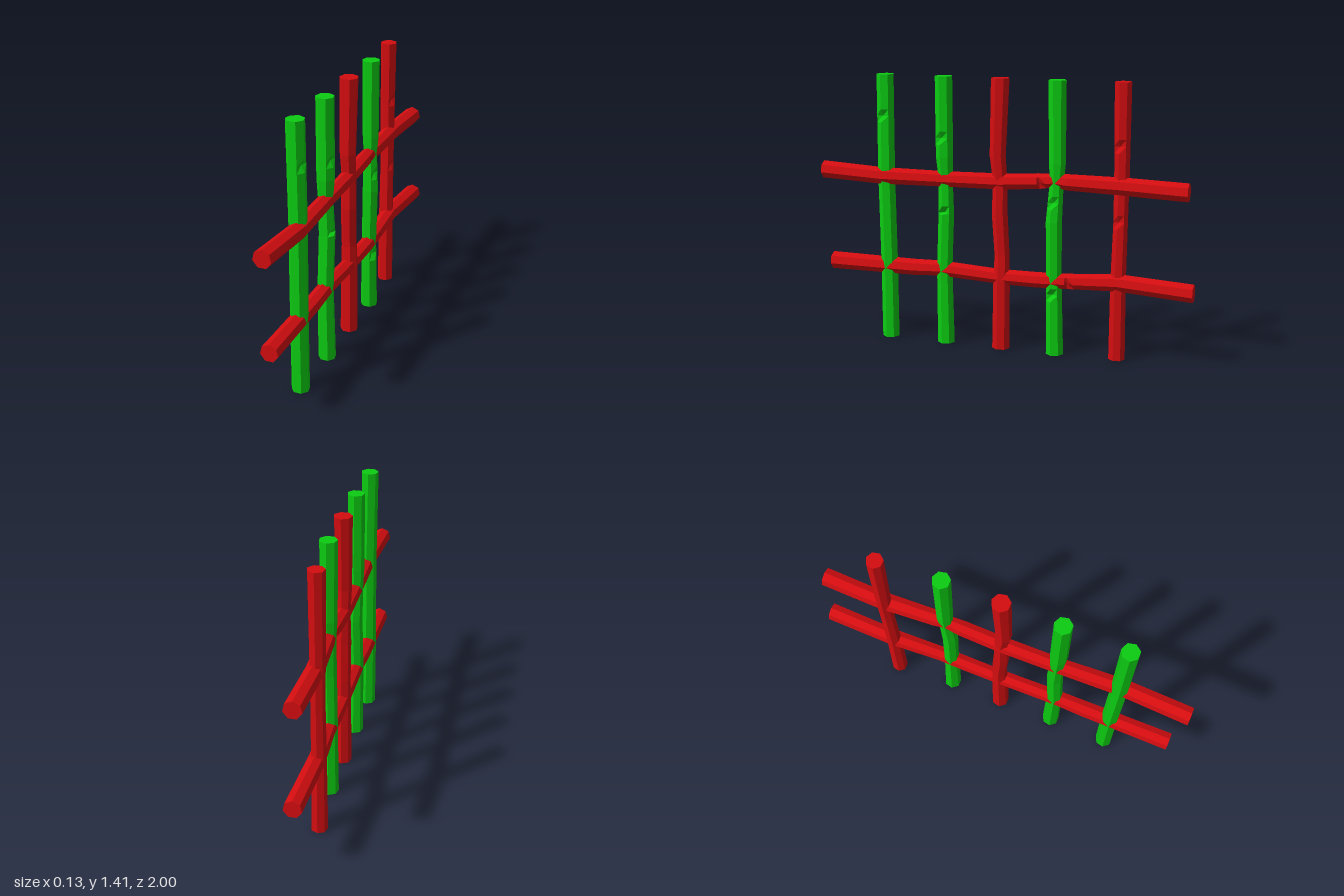
import * as THREE from 'three';

const SIDES = 7;
const lerp = THREE.MathUtils.lerp;

// Centre [a, b] and radius of a path of [t, a, b, r] points at distance t
function sample(path, t) {
  let i = 0;
  while (i < path.length - 2 && t > path[i + 1][0]) i++;
  const p = path[i], q = path[i + 1];
  const k = (t - p[0]) / (q[0] - p[0]);
  return [1, 2, 3].map(j => lerp(p[j], q[j], k));
}

// Crooked faceted stick along y; each dent is [t, side, depth]
function stick(path, dents = []) {
  const rows = path.map(p => p[0]);
  for (const [t] of dents) rows.push(t - 0.035, t, t + 0.035);
  rows.sort((a, b) => a - b);
  const n = rows.length - 1;
  const geo = new THREE.CylinderGeometry(1, 1, 1, SIDES, n, false, Math.PI);
  const pos = geo.attributes.position;
  for (let i = 0; i < pos.count; i++) {
    const t = rows[Math.round((pos.getY(i) + 0.5) * n)];
    const [cx, cz, r] = sample(path, t);
    const x = pos.getX(i), z = pos.getZ(i);
    const angle = Math.atan2(x, z) - Math.PI + Math.PI * 4;
    const side = Math.round(angle / (Math.PI * 2) * SIDES) % SIDES;
    let s = r;
    for (const d of dents) if (d[0] === t && d[1] === side) s -= d[2];
    pos.setXYZ(i, cx + x * s, t, cz + z * s);
  }
  const flat = geo.toNonIndexed();
  flat.computeVertexNormals();
  return flat;
}

export function createModel() {
  const group = new THREE.Group();
  group.name = 'trellis';
  const red = new THREE.MeshStandardMaterial({ color: 0xd40d10 });
  red.name = 'red';
  const green = new THREE.MeshStandardMaterial({ color: 0x0ccc12 });
  green.name = 'green';

  const add = (name, geo, mat) => {
    const mesh = new THREE.Mesh(geo, mat);
    mesh.name = name;
    group.add(mesh);
  };

  // Upright poles: path points are [y, x, z, radius]
  const H = 1.415, R = 0.046;
  const poles = [
    [green, [[0, 0, 0.628, R], [0.4, 0, 0.628, R], [0.89, 0.005, 0.632, R], [H, 0, 0.631, R]],
      [[1.2, 5, 0.02]]],
    [green, [[0, 0.003, 0.306, R], [0.4, 0, 0.312, 0.042], [0.7, 0.005, 0.298, 0.042],
      [0.89, 0, 0.302, 0.038], [1, 0.003, 0.305, R], [H, 0.003, 0.306, R]],
      [[0.71, 5, 0.025], [1.1, 5, 0.018]]],
    [red, [[0, 0, 0, 0.047], [0.38, 0, -0.004, 0.044], [0.5, -0.002, -0.006, 0.04],
      [0.72, 0, 0.006, 0.042], [0.89, 0, 0.004, 0.038], [1.02, 0, 0.017, 0.042], [H, 0, 0.003, 0.048]],
      []],
    [green, [[0, 0, -0.293, R], [0.4, 0, -0.286, 0.04], [0.7, 0.006, -0.284, 0.042],
      [0.9, 0, -0.295, 0.036], [1, 0, -0.298, 0.043], [H, 0, -0.294, R]],
      [[0.32, 5, 0.025], [0.8, 5, 0.018]]],
    [red, [[0, -0.025, -0.615, 0.043], [0.4, -0.025, -0.614, 0.04], [0.72, -0.025, -0.62, 0.037],
      [0.95, -0.026, -0.621, 0.039], [H, -0.025, -0.618, 0.043]],
      [[0.72, 5, 0.015], [1.1, 5, 0.018]]],
  ];
  poles.forEach(([mat, path, dents], i) => add('pole' + (i + 1), stick(path, dents), mat));

  // Cross bars: path points are [z, x, y, radius]
  const bar = (path, dents) =>
    stick(path.map(([z, x, y, r]) => [z, x, -y, r]), dents).rotateX(Math.PI / 2);
  add('upperBar', bar([
    [-0.96, 0, 0.893, 0.047], [-0.64, -0.012, 0.9, 0.046], [-0.35, 0, 0.906, 0.042],
    [-0.29, 0, 0.91, 0.034], [-0.2, 0, 0.902, 0.041], [0, 0, 0.888, 0.042],
    [0.3, 0.005, 0.883, 0.041], [0.65, 0.018, 0.882, 0.045], [1, 0, 0.893, 0.047]],
    [[-0.21, 5, 0.018]]), red);
  add('lowerBar', bar([
    [-1, 0, 0.39, 0.047], [-0.62, -0.015, 0.406, 0.045], [-0.35, 0, 0.393, 0.04],
    [-0.2, 0, 0.387, 0.041], [0, 0, 0.386, 0.04], [0.33, 0, 0.402, 0.041],
    [0.48, 0, 0.395, 0.044], [0.96, 0, 0.394, 0.047]],
    [[-0.36, 5, 0.018]]), red);
  return group;
}
